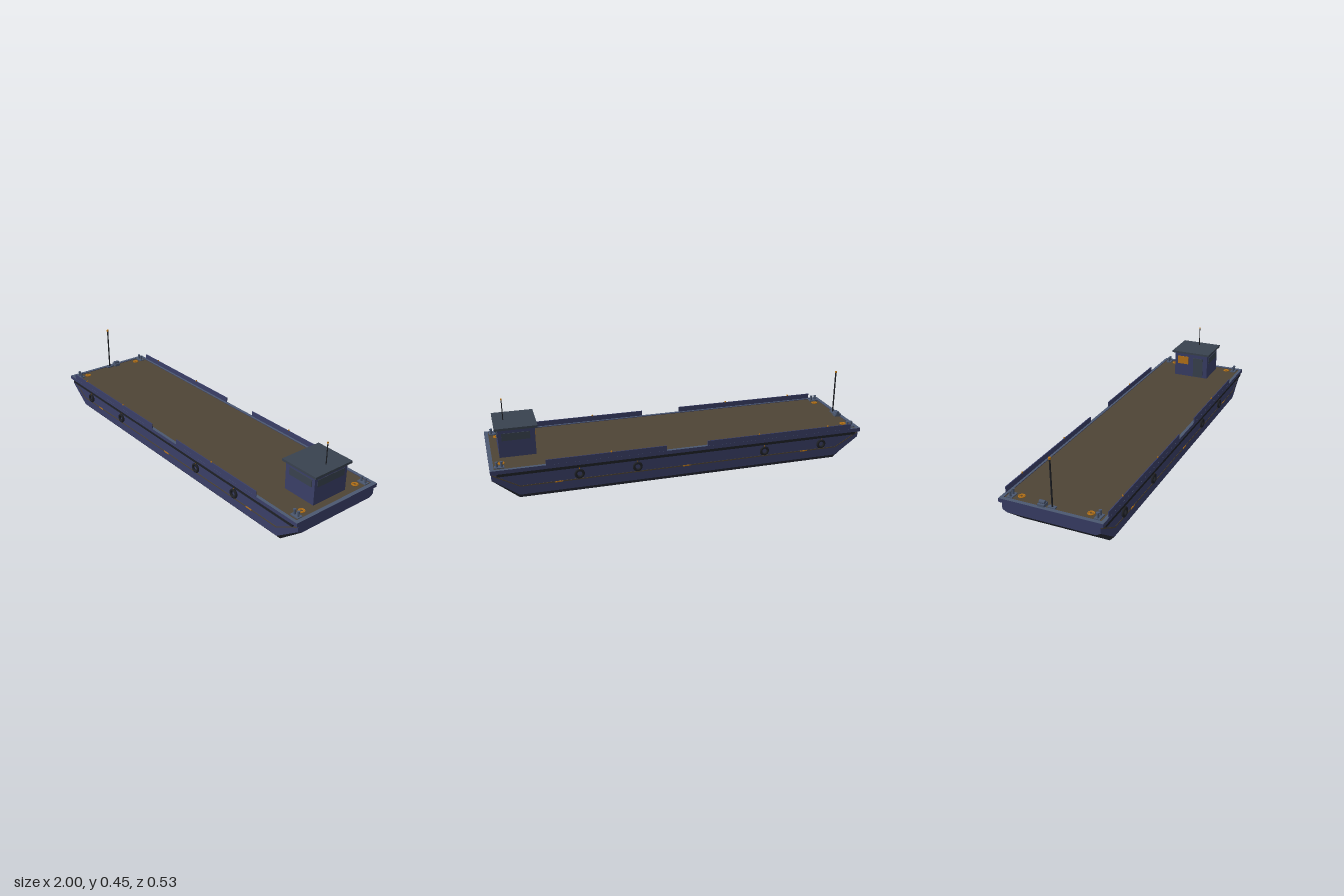
import * as THREE from 'three';

const mat = (name, color) => {
  const m = new THREE.MeshStandardMaterial({ color });
  m.name = name;
  return m;
};

export function createModel() {
  const navy = mat('navy paint', 0x3a3f68);
  const bottom = mat('dark bottom paint', 0x292c38);
  const wood = mat('brown deck', 0x4e4435);
  const steel = mat('blue grey steel', 0x4b5870);
  const slate = mat('slate roof and glass', 0x39424f);
  const rubber = mat('black rubber', 0x1f2126);
  const amber = mat('amber', 0xb87418);

  const model = new THREE.Group();
  model.name = 'barge';

  const add = (name, geometry, material, x = 0, y = 0, z = 0, parent = model) => {
    const mesh = new THREE.Mesh(geometry, material);
    mesh.name = name;
    mesh.position.set(x, y, z);
    parent.add(mesh);
    return mesh;
  };
  // Box given by its lower and upper limits on each axis
  const block = (name, material, x0, x1, y0, y1, z0, z1, parent) =>
    add(name, new THREE.BoxGeometry(x1 - x0, y1 - y0, z1 - z0), material,
      (x0 + x1) / 2, (y0 + y1) / 2, (z0 + z1) / 2, parent);
  const rod = (name, material, r, y0, y1, x, z, sides = 10, parent) =>
    add(name, new THREE.CylinderGeometry(r, r, y1 - y0, sides), material, x, (y0 + y1) / 2, z, parent);

  // Hull: convex faces between four stations, each turned outward
  const centre = new THREE.Vector3(0, 0.1, 0);
  const faces = (polygons) => {
    const pos = [];
    for (const p of polygons) {
      const v = p.map((c) => new THREE.Vector3(...c));
      for (let i = 1; i < v.length - 1; i++) {
        const [a, b, c] = [v[0], v[i], v[i + 1]];
        const n = b.clone().sub(a).cross(c.clone().sub(a));
        const tri = n.dot(a.clone().sub(centre)) > 0 ? [a, b, c] : [a, c, b];
        tri.forEach((q) => pos.push(q.x, q.y, q.z));
      }
    }
    const g = new THREE.BufferGeometry();
    g.setAttribute('position', new THREE.Float32BufferAttribute(pos, 3));
    g.computeVertexNormals();
    return g;
  };
  const station = (x, keel, chine) => (s) => ({
    keel: [x, keel, 0.227 * s], chine: [x, chine, 0.25 * s], top: [x, 0.16, 0.25 * s],
  });
  const stations = [
    station(-0.995, 0.107, 0.12), station(-0.865, 0, 0.025),
    station(0.865, 0, 0.025), station(0.995, 0.107, 0.12),
  ];
  const upper = [], lower = [];
  for (let i = 0; i < 3; i++) {
    for (const s of [1, -1]) {
      const a = stations[i](s), b = stations[i + 1](s);
      upper.push([a.chine, b.chine, b.top, a.top]);
      lower.push([a.keel, b.keel, b.chine, a.chine]);
    }
    const [a, b] = [stations[i], stations[i + 1]];
    lower.push([a(1).keel, b(1).keel, b(-1).keel, a(-1).keel]);
  }
  for (const end of [stations[0], stations[3]]) {
    const l = end(1), r = end(-1);
    upper.push([l.keel, l.chine, l.top, r.top, r.chine, r.keel]);
  }
  add('hullSides', faces(upper), navy);
  add('hullBottom', faces(lower), bottom);

  // Deck and gunwale with a steel cap
  block('deck', wood, -0.985, 0.985, 0.155, 0.172, -0.252, 0.252);
  const capped = [navy, navy, steel, navy, navy, navy];
  for (const s of [1, -1]) {
    const z = 0.2565 * s, x = 0.99 * s;
    block('sideGunwale', capped, -1, 1, 0.155, 0.175, z - 0.0085, z + 0.0085);
    block('endGunwale', capped, x - 0.01, x + 0.01, 0.155, 0.175, -0.248, 0.248);
  }

  // Fittings repeated along both sides
  const stripe = new THREE.Shape([
    [-0.99, 0.148], [-0.86, 0.075], [0.86, 0.075], [0.99, 0.148],
    [0.99, 0.142], [0.86, 0.069], [-0.86, 0.069], [-0.99, 0.142],
  ].map(([x, y]) => new THREE.Vector2(x, y)));
  const stripeGeo = new THREE.ExtrudeGeometry(stripe, { depth: 0.003, bevelEnabled: false });
  const tyreGeo = new THREE.TorusGeometry(0.0195, 0.007, 8, 20);
  for (const s of [1, -1]) {
    const z = 0.25 * s;
    add('waterlineStripe', stripeGeo, wood, 0, 0, z - 0.0015);
    block('rubRail', rubber, -0.97, 0.97, 0.14, 0.156, 0.257 * s - 0.007, 0.257 * s + 0.007);
    for (const x of [-0.67, 0, 0.67]) {
      block('draftMark', amber, x - 0.02, x + 0.02, 0.069, 0.075, z - 0.003, z + 0.003);
    }
    for (const x of [-0.77, -0.435, 0.265, 0.565]) {
      add('tyreFender', tyreGeo, rubber, x, 0.104, 0.2575 * s);
      rod('fenderRope', amber, 0.002, 0.125, 0.155, x, 0.2575 * s, 6);
    }
    for (const [x0, x1] of [[-0.94, -0.11], [0.11, 0.73]]) {
      block('bulwark', navy, x0, x1, 0.175, 0.203, 0.262 * s - 0.0025, 0.262 * s + 0.0025);
    }
    for (const x of [-0.8, -0.4, 0.4]) {
      rod('edgeLamp', amber, 0.004, 0.202, 0.209, x, 0.262 * s, 8);
    }
  }

  // Bollard pairs and rope coils at the four corners
  for (const sx of [1, -1]) for (const sz of [1, -1]) {
    const bollards = new THREE.Group();
    bollards.name = 'bollards';
    bollards.position.set(0.952 * sx, 0, 0.222 * sz);
    model.add(bollards);
    block('bollardBase', steel, -0.024, 0.024, 0.171, 0.177, -0.015, 0.015, bollards);
    for (const x of [-0.012, 0.012]) {
      rod('bollardPost', steel, 0.006, 0.176, 0.2, x, 0, 12, bollards);
      rod('bollardCap', steel, 0.0075, 0.198, 0.203, x, 0, 12, bollards);
    }
    for (const r of [0.009, 0.015]) {
      const coil = add('ropeCoil', new THREE.TorusGeometry(r, 0.0028, 6, 18), amber, 0.94 * sx, 0.1745, 0.177 * sz);
      coil.rotation.x = Math.PI / 2;
    }
  }

  // Bow mast, lamp and winch
  block('mastBase', steel, -0.98, -0.96, 0.172, 0.18, -0.02, 0.018);
  rod('bowMast', rubber, 0.004, 0.175, 0.417, -0.97, 0);
  rod('mastLamp', amber, 0.006, 0.415, 0.425, -0.97, 0);
  block('winchBase', steel, -0.988, -0.952, 0.172, 0.187, -0.067, -0.033);
  const drum = rod('winchDrum', steel, 0.01, 0.178, 0.206, -0.97, -0.05, 14);
  drum.rotation.x = Math.PI / 2;

  // Wheelhouse
  const house = new THREE.Group();
  house.name = 'wheelhouse';
  model.add(house);
  block('cabin', navy, 0.757, 0.942, 0.172, 0.322, -0.106, 0.106, house);
  block('roof', slate, 0.743, 0.958, 0.321, 0.333, -0.12, 0.12, house);
  block('aftWindow', slate, 0.939, 0.944, 0.262, 0.301, -0.088, 0.088, house);
  for (const s of [1, -1]) {
    block('sideWindow', slate, 0.782, 0.925, 0.262, 0.301, 0.1065 * s - 0.0025, 0.1065 * s + 0.0025, house);
  }
  block('litWindow', amber, 0.754, 0.759, 0.25, 0.299, -0.088, -0.018, house);
  block('door', slate, 0.754, 0.759, 0.175, 0.296, 0.015, 0.078, house);
  rod('aerial', rubber, 0.0025, 0.333, 0.445, 0.905, 0, 8, house);
  rod('aerialLamp', amber, 0.0035, 0.441, 0.449, 0.905, 0, 8, house);

  return model;
}
